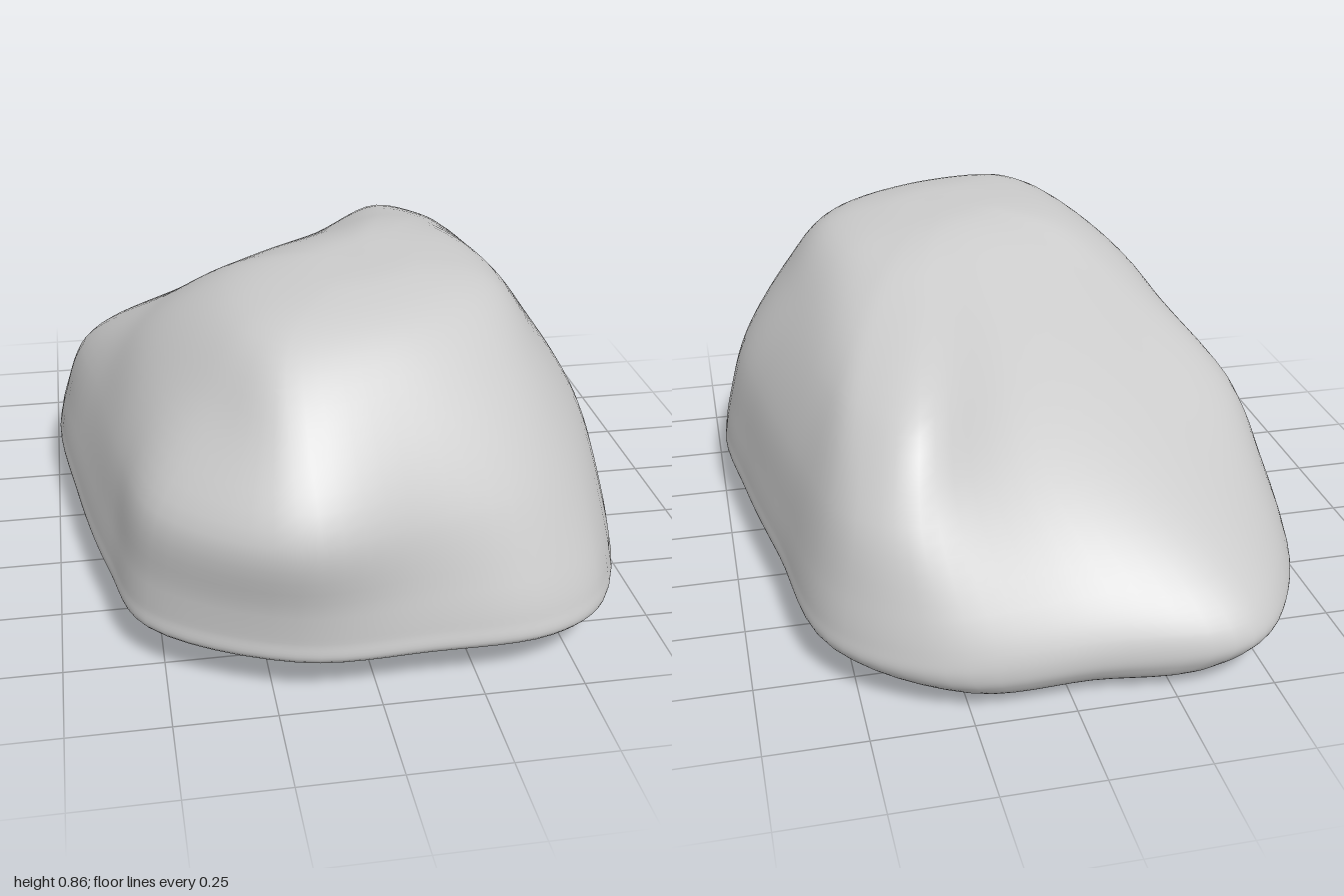
import * as THREE from 'three';
import { mergeVertices } from 'three/addons/utils/BufferGeometryUtils.js';

// Horizontal outlines (x, z), starting at the front nose and running round by the left side
const RIM = [[-.2, .96], [.13, .97], [.43, .95], [.59, .84], [.73, .4], [.7, .03], [.64, -.35], [.56, -.77],
  [.31, -.965], [-.07, -.98], [-.44, -.99], [-.61, -.8], [-.73, -.4], [-.69, .1], [-.62, .5], [-.54, .76]];
const MIDDLE = [[-.2, 1], [.12, .92], [.42, .81], [.56, .65], [.66, .33], [.64, 0], [.58, -.4], [.5, -.73],
  [.34, -.83], [.04, -.73], [-.25, -.63], [-.44, -.49], [-.64, -.26], [-.61, .1], [-.57, .48], [-.5, .79]];
const SHOULDER = [[-.2, .86], [.1, .8], [.38, .66], [.49, .5], [.54, .28], [.53, 0], [.49, -.37], [.44, -.55],
  [.31, -.67], [.05, -.44], [-.19, -.26], [-.33, -.14], [-.44, -.02], [-.49, .15], [-.46, .44], [-.36, .69]];
const CROWN = [[-.17, .67], [.08, .64], [.31, .51], [.4, .38], [.42, .24], [.4, .05], [.35, -.1], [.3, -.18],
  [.21, -.21], [.05, -.09], [-.09, 0], [-.18, .07], [-.26, .14], [-.3, .25], [-.3, .42], [-.25, .59]];

// Scale an outline about a centre
const scaled = (outline, sx, sz, cx, cz) =>
  outline.map(([x, z]) => [cx + (x - cx) * sx, cz + (z - cz) * sz]);
const blend = (a, b, t) =>
  a.map(([x, z], i) => [x + (b[i][0] - x) * t, z + (b[i][1] - z) * t]);

function boulderGeometry(rows, columns) {
  // Outlines stacked from the underside to the top
  const levels = [
    [0, scaled(RIM, 0, 0, 0, -.1)],
    [.008, scaled(RIM, .42, .6, 0, -.35)],
    [.03, scaled(RIM, .69, .88, 0, -.55)],
    [.08, scaled(RIM, .92, .96, 0, -.8)],
    [.12, RIM],
    [.17, blend(RIM, MIDDLE, .05)],
    [.26, blend(RIM, MIDDLE, .28)],
    [.45, MIDDLE],
    [.65, SHOULDER],
    [.8, CROWN],
    [.85, scaled(CROWN, .5, .5, .08, .28)],
    [.858, scaled(CROWN, 0, 0, .08, .28)],
  ];
  // One rising curve through each outline point
  const ribs = RIM.map((_, i) => new THREE.CatmullRomCurve3(
    levels.map(([y, o]) => new THREE.Vector3(o[i][0], y, o[i][1])), false, 'centripetal'));

  // Closed rings across the ribs; the first and last rows shrink to poles
  const positions = [], index = [];
  for (let r = 0; r <= rows; r++) {
    const ring = new THREE.CatmullRomCurve3(ribs.map((rib) => rib.getPoint(r / rows)), true, 'centripetal');
    for (let c = 0; c < columns; c++) {
      const p = ring.getPoint(c / columns);
      positions.push(p.x, Math.max(0, p.y), p.z);
      if (r === rows) continue;
      const a = r * columns + c, b = r * columns + (c + 1) % columns;
      if (r > 0) index.push(a, b, b + columns);
      if (r < rows - 1) index.push(a, b + columns, a + columns);
    }
  }
  const geometry = new THREE.BufferGeometry();
  geometry.setAttribute('position', new THREE.Float32BufferAttribute(positions, 3));
  geometry.setIndex(index);
  const welded = mergeVertices(geometry, 1e-5);
  welded.computeVertexNormals();
  return welded;
}

export function createModel() {
  const group = new THREE.Group();
  group.name = 'rock';
  const boulder = new THREE.Mesh(boulderGeometry(66, 96),
    new THREE.MeshStandardMaterial({ color: 0xcccccc }));
  boulder.name = 'boulder';
  group.add(boulder);
  return group;
}
